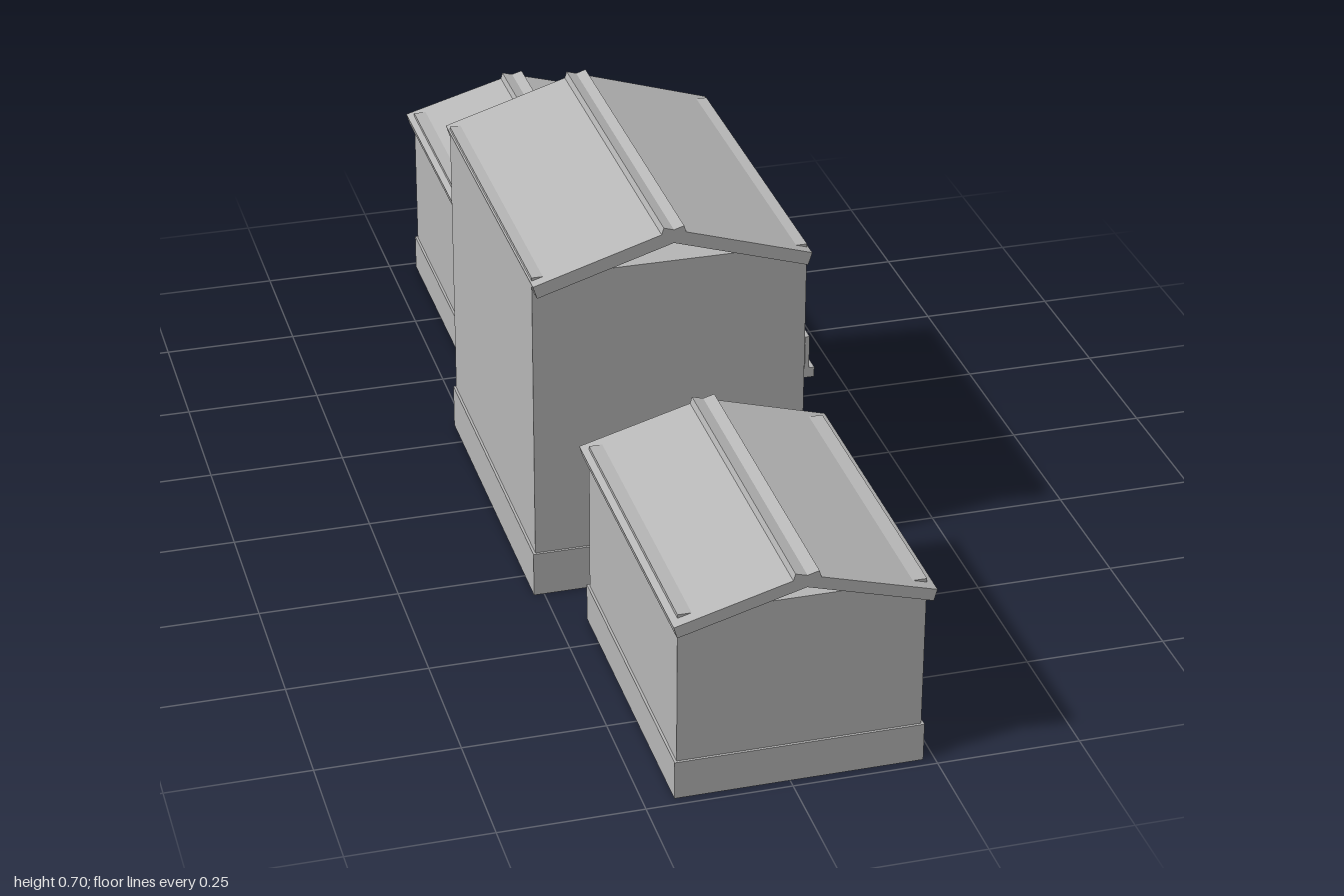
import * as THREE from 'three';

const plaster = new THREE.MeshStandardMaterial({ color: 0xb8b8b8 });
plaster.name = 'light grey';

// Box given by its limits on each axis
function block(name, [x0, x1], [y0, y1], [z0, z1]) {
  const mesh = new THREE.Mesh(new THREE.BoxGeometry(x1 - x0, y1 - y0, z1 - z0), plaster);
  mesh.name = name;
  mesh.position.set((x0 + x1) / 2, (y0 + y1) / 2, (z0 + z1) / 2);
  return mesh;
}

// Sloping roof slab; its top edge runs from the eave, past the ridge, to the tip
function roofSlab(name, eave, tip, thickness, halfDepth) {
  const dx = tip[0] - eave[0], dy = tip[1] - eave[1];
  const length = Math.hypot(dx, dy);
  const side = Math.sign(dx);
  const mesh = new THREE.Mesh(new THREE.BoxGeometry(length, thickness, halfDepth * 2), plaster);
  mesh.name = name;
  mesh.rotation.z = side * Math.atan2(dy, Math.abs(dx));
  mesh.position.set(
    (eave[0] + tip[0]) / 2 + side * (dy / length) * thickness / 2,
    (eave[1] + tip[1]) / 2 - (Math.abs(dx) / length) * thickness / 2,
    0);
  return mesh;
}

// Walls, plinth and two slabs that cross at the ridge
function houseShell(name, s) {
  const house = new THREE.Group();
  house.name = name;
  const lip = 0.0045;
  house.add(
    block('walls', [s.back, FACADE], [0.01, s.wallTop], [-s.depth, s.depth]),
    block('plinth', [s.back - lip, FACADE + lip], [0, s.plinthTop], [-s.depth - lip, s.depth + lip]));
  for (const side of [-1, 1]) {
    house.add(roofSlab(side > 0 ? 'leftRoofSlab' : 'rightRoofSlab',
      [s.ridge + side * s.span, s.eaveY], [s.ridge - side * s.overrun, s.tipY],
      s.thickness, s.roofDepth));
  }
  return house;
}

const FACADE = 0.226;
const PANEL = [FACADE - 0.002, 0.2355];

function cottage(name, z) {
  const house = houseShell(name, {
    back: -0.193, wallTop: 0.35, plinthTop: 0.07, depth: 0.279,
    ridge: 0.016, span: 0.221, overrun: 0.02, eaveY: 0.34, tipY: 0.408,
    thickness: 0.0212, roofDepth: 0.3,
  });
  house.add(
    block('door', PANEL, [0.036, 0.217], [0.1, 0.18]),
    block('window', PANEL, [0.117, 0.226], [-0.149, -0.051]));
  house.position.z = z;
  return house;
}

function mainHouse() {
  const house = houseShell('mainHouse', {
    back: -0.264, wallTop: 0.63, plinthTop: 0.084, depth: 0.313,
    ridge: -0.019, span: 0.248, overrun: 0.018, eaveY: 0.623, tipY: 0.705,
    thickness: 0.0238, roofDepth: 0.334,
  });
  house.add(
    block('door', PANEL, [0.036, 0.245], [0.084, 0.198]),
    block('window', PANEL, [0.361, 0.486], [-0.186, -0.09]),
    block('balconyDoor', PANEL, [0.335, 0.504], [0.096, 0.193]));

  // Balcony: floor slab with a thin upright parapet
  const balcony = new THREE.Group();
  balcony.name = 'balcony';
  balcony.add(
    block('balconyFloor', [FACADE - 0.002, 0.267], [0.327, 0.346], [0.036, 0.245]),
    block('balconyParapet', [0.249, 0.257], [0.34, 0.409], [0.036, 0.245]));
  house.add(balcony);
  return house;
}

export function createModel() {
  const model = new THREE.Group();
  model.name = 'houseRow';
  model.add(mainHouse(), cottage('frontCottage', 0.7), cottage('backCottage', -0.7));
  return model;
}
